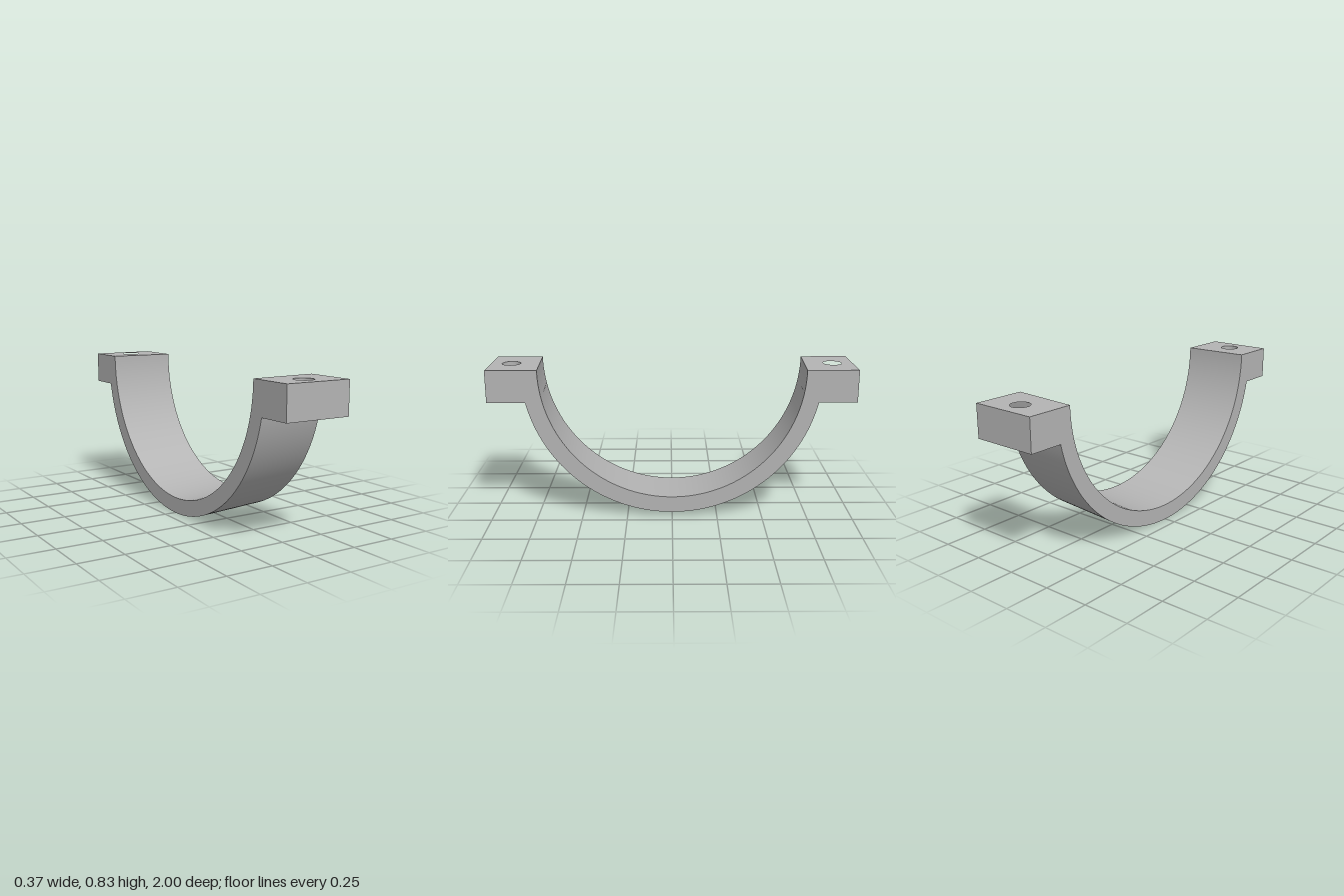
import * as THREE from 'three';
import { toCreasedNormals } from 'three/addons/utils/BufferGeometryUtils.js';

const HALF_W = 0.185;   // half width along x
const TOP = 0.832;      // height of the split plane and arc axis
const LUG_H = 0.178;
// the band tapers: radii at the -x and +x ends
const OUTER = [0.832, 0.811];
const INNER = [0.743, 0.721];

export function createModel() {
  const group = new THREE.Group();
  group.name = 'pipeClampHalf';
  const metal = new THREE.MeshStandardMaterial({ color: 0xb4b4b4 });
  metal.name = 'grey metal';

  const add = (name, geometry) => {
    const mesh = new THREE.Mesh(toCreasedNormals(geometry, 0.6), metal);
    mesh.name = name;
    group.add(mesh);
  };

  // tapered half ring, turned so its axis runs along x
  const profile = [
    [OUTER[0], -HALF_W], [OUTER[1], HALF_W],
    [INNER[1], HALF_W], [INNER[0], -HALF_W], [OUTER[0], -HALF_W],
  ].map(([r, a]) => new THREE.Vector2(r, a));
  const band = new THREE.LatheGeometry(profile, 96, 0, Math.PI);
  band.rotateZ(-Math.PI / 2);
  band.translate(0, TOP, 0);
  add('halfRingBand', band);

  // drilled lugs; their slanted inner edge follows the bore and closes the band ends
  for (const s of [1, -1]) {
    const plan = new THREE.Shape([
      [-HALF_W, INNER[0]], [HALF_W, INNER[1]], [HALF_W, 1], [-HALF_W, 1],
    ].map(([x, z]) => new THREE.Vector2(x, z * s)));
    const hole = new THREE.Path();
    hole.absarc(0, 0.888 * s, 0.051, 0, Math.PI * 2, true);
    plan.holes.push(hole);
    const lug = new THREE.ExtrudeGeometry(plan, { depth: LUG_H, bevelEnabled: false, curveSegments: 32 });
    lug.rotateX(Math.PI / 2);
    lug.translate(0, TOP, 0);
    add(s > 0 ? 'frontLug' : 'backLug', lug);
  }
  return group;
}
